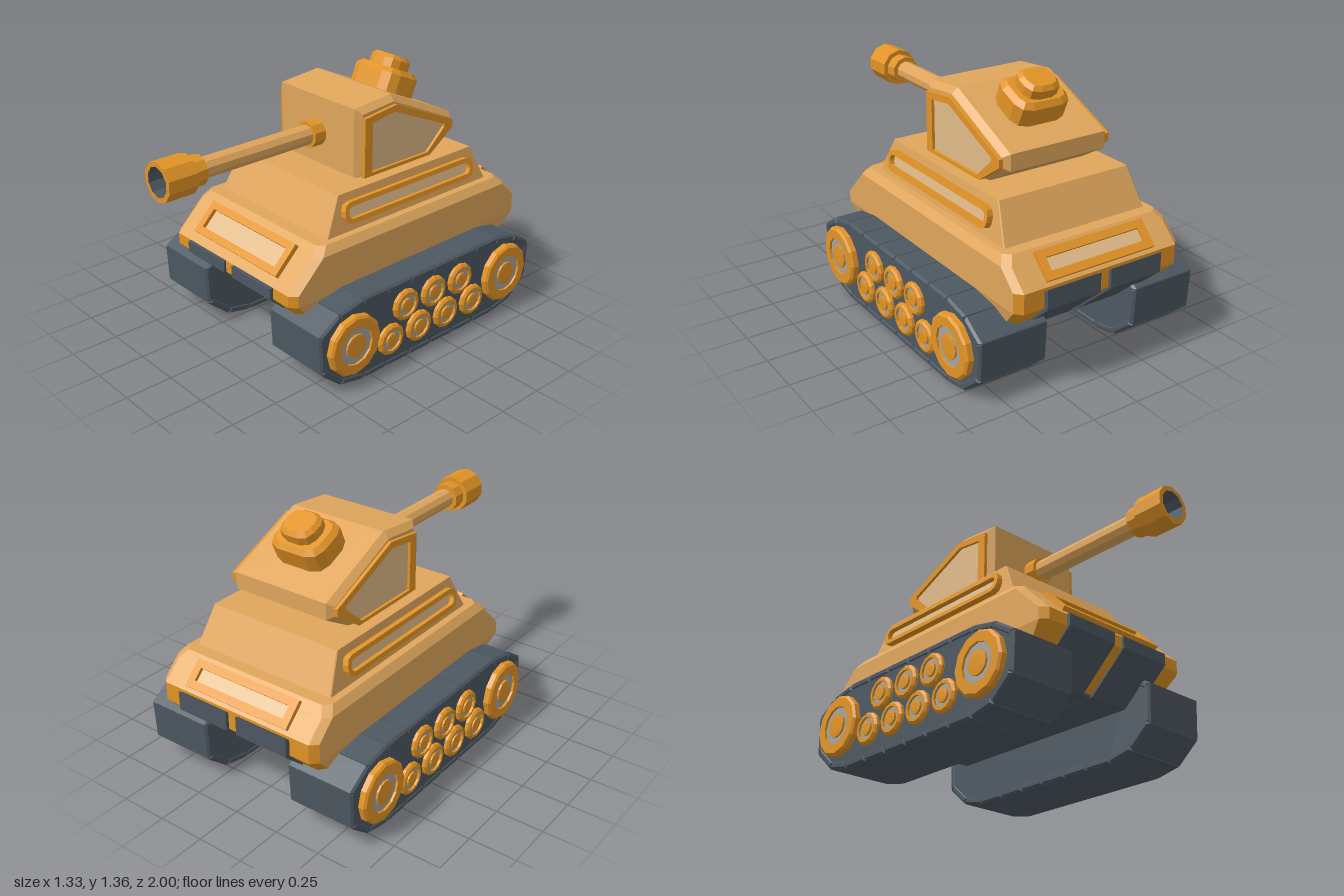
import * as THREE from 'three';

const mat = (name, color) => {
  const m = new THREE.MeshStandardMaterial({ color });
  m.name = name;
  return m;
};

export function createModel() {
  const tan = mat('tan armour', 0xe0a65c);
  const orange = mat('orange trim', 0xe29426);
  const dark = mat('dark slate', 0x4d5861);
  const light = mat('light panel', 0xe0ba88);
  const grey = mat('grey wheel ring', 0xa4a4a2);

  const tank = new THREE.Group();
  tank.name = 'tank';

  // Faceted mesh: every face gets its own normal
  const add = (name, geo, material, parent = tank) => {
    const g = geo.index ? geo.toNonIndexed() : geo;
    g.computeVertexNormals();
    const mesh = new THREE.Mesh(g, material);
    mesh.name = name;
    parent.add(mesh);
    return mesh;
  };
  const toShape = (pts) => new THREE.Shape(pts.map(([x, y]) => new THREE.Vector2(x, y)));

  // Extrudes along +z from 0 to depth, with an optional chamfer
  const extrude = (pts, depth, bevel = 0, hole = null) => {
    const s = toShape(pts);
    if (hole) s.holes.push(toShape(hole));
    const g = new THREE.ExtrudeGeometry(s, {
      depth: depth - 2 * bevel, bevelEnabled: bevel > 0, bevelThickness: bevel,
      bevelSize: bevel, bevelOffset: -bevel, bevelSegments: 1, curveSegments: 1,
    });
    return g.translate(0, 0, bevel);
  };
  // Extrudes a (z, y) side profile between x0 and x1
  const sideExtrude = (pts, x0, x1, bevel = 0, hole = null) =>
    extrude(pts, x1 - x0, bevel, hole).rotateY(-Math.PI / 2).translate(x1, 0, 0);

  // Rectangle with clipped, softened corners
  const rect = (w, h, c = 0) => {
    const x = w / 2, y = h / 2, k = c * 0.29;
    if (!c) return [[-x, -y], [x, -y], [x, y], [-x, y]];
    return [[x - c, -y], [x - k, -y + k], [x, -y + c], [x, y - c], [x - k, y - k], [x - c, y],
      [-x + c, y], [-x + k, y - k], [-x, y - c], [-x, -y + c], [-x + k, -y + k], [-x + c, -y]];
  };

  // Octagonal ring: half width, front and back z, front and back y, corner cut
  const ring = (hx, zf, zb, yf, yb = yf, c = 0.035) => [
    [hx, yf, zf - c], [hx, yb, zb + c], [hx - c, yb, zb], [c - hx, yb, zb],
    [-hx, yb, zb + c], [-hx, yf, zf - c], [c - hx, yf, zf], [hx - c, yf, zf]];
  // Skins rings from bottom to top; pick(i) gives the material index of wall i
  const loft = (rings, pick = () => 0) => {
    const pos = [], g = new THREE.BufferGeometry();
    const tri = (m, ...p) => {
      g.addGroup(pos.length / 3, 3, m);
      p.forEach((v) => pos.push(...v));
    };
    for (let j = 0; j + 1 < rings.length; j++) {
      for (let i = 0; i < 8; i++) {
        const n = (i + 1) % 8, lo = rings[j], hi = rings[j + 1];
        tri(pick(i), lo[i], lo[n], hi[n]);
        tri(pick(i), lo[i], hi[n], hi[i]);
      }
    }
    const top = rings[rings.length - 1], bot = rings[0];
    for (let i = 1; i < 7; i++) {
      tri(0, top[0], top[i], top[i + 1]);
      tri(0, bot[0], bot[i + 1], bot[i]);
    }
    g.setAttribute('position', new THREE.Float32BufferAttribute(pos, 3));
    return g;
  };

  // Hull: lower band with orange ends, sloped shell, raised deck
  const belt = ring(0.475, 0.615, -0.975, 0.5, 0.56);
  add('lowerHull', loft([ring(0.45, 0.54, -0.88, 0.36), ring(0.475, 0.615, -0.975, 0.44, 0.46), belt],
    (i) => (i % 4 === 0 ? 0 : 1)), [tan, orange]);
  add('hullShell', loft([belt, ring(0.475, 0.461, -0.881, 0.65), ring(0.445, 0.42, -0.84, 0.69)]), [tan]);
  add('upperDeck', loft([ring(0.41, 0.35, -0.78, 0.68, 0.68, 0.005),
    ring(0.375, 0.25, -0.68, 0.88, 0.88, 0.005)]), [tan]);

  // Belly: two dark skid plates with an orange spine between them
  const belly = [[0.633, 0.5], [0.633, 0.44], [0.42, 0.25], [-0.77, 0.25], [-1, 0.46], [-1, 0.56], [-0.9, 0.5], [0.5, 0.5]];
  const spine = [[0.62, 0.5], [0.62, 0.44], [0.42, 0.265], [-0.77, 0.265], [-0.982, 0.46], [-0.982, 0.555], [-0.9, 0.5], [0.5, 0.5]];
  add('leftBelly', sideExtrude(belly, 0.03, 0.33), dark);
  add('rightBelly', sideExtrude(belly, -0.33, -0.03), dark);
  add('bellySpine', sideExtrude(spine, -0.03, 0.03), orange);
  add('bellyFloor', new THREE.BoxGeometry(0.06, 0.03, 1.17).translate(0, 0.266, -0.175), dark);

  // Framed panels lying on the sloped armour
  const panel = (name, w, h, border, corner, depth, at, yaw, pitch) => {
    const p = new THREE.Group();
    p.name = name;
    p.position.set(...at);
    p.rotation.set(-pitch, yaw, 0, 'YXZ');
    const inner = rect(w - 2 * border, h - 2 * border, corner * 0.6);
    add('frame', extrude(rect(w, h, corner), depth + 0.01, 0, inner).translate(0, 0, -0.01), orange, p);
    add('inset', extrude(inner, 0.008).translate(0, 0, -0.004), light, p);
    tank.add(p);
  };
  panel('frontPanel', 0.65, 0.18, 0.038, 0, 0.025, [0, 0.598, 0.515], 0, Math.PI / 4);
  panel('rearPanel', 0.62, 0.145, 0.04, 0, 0.022, [0, 0.625, -0.908], Math.PI, Math.PI / 4);
  for (const s of [1, -1]) {
    panel(s > 0 ? 'leftRail' : 'rightRail', 0.9, 0.11, 0.024, 0.04, 0.03,
      [s * 0.393, 0.785, -0.21], s * Math.PI / 2, 0.18);
  }

  // Turret with framed side windows
  add('turretBody', sideExtrude([[0.05, 0.87], [0.05, 1.235], [-0.19, 1.258], [-0.627, 1.06],
    [-0.627, 0.975], [-0.45, 0.87]], -0.3, 0.3, 0.03), tan);
  const frame = [[0.02, 0.882], [0.02, 1.19], [-0.19, 1.215], [-0.602, 1.035], [-0.602, 0.995], [-0.44, 0.882]];
  const pane = [[-0.03, 0.9], [-0.03, 1.16], [-0.18, 1.18], [-0.54, 1.025], [-0.54, 1.01], [-0.42, 0.9]];
  for (const s of [1, -1]) {
    const span = (a, b) => (s > 0 ? [a, b] : [-b, -a]);
    add('turretWindowFrame', sideExtrude(frame, ...span(0.285, 0.318), 0, pane), orange);
    add('turretWindow', sideExtrude(pane, ...span(0.296, 0.303)), light);
  }

  // Hatch standing square to the sloping roof
  const hatch = new THREE.Group();
  hatch.name = 'hatch';
  hatch.position.set(0, 1.14, -0.38);
  hatch.rotation.x = -0.42;
  const stand = (g, y) => g.rotateX(-Math.PI / 2).translate(0, y, 0);
  add('hatchBase', stand(extrude(rect(0.3, 0.245, 0.07), 0.19, 0.025), -0.04), orange, hatch);
  add('hatchCap', stand(extrude(rect(0.19, 0.17, 0.06), 0.09, 0.02), 0.125), orange, hatch);
  tank.add(hatch);

  // Gun: lathed (radius, z) profiles along +z
  const turned = (pts, sides) =>
    new THREE.LatheGeometry(pts.map(([r, y]) => new THREE.Vector2(r, y)), sides);
  const gun = new THREE.Group();
  gun.name = 'gun';
  gun.position.y = 1.045;
  const gunPart = (name, pts, m) => add(name, turned(pts, 10).rotateX(Math.PI / 2), m, gun);
  gunPart('mantletCollar', [[0.07, 0], [0.07, 0.12], [0.045, 0.12]], orange);
  gunPart('barrel', [[0.052, 0.1], [0.052, 0.78]], tan);
  gunPart('muzzle', [[0.045, 0.77], [0.076, 0.77], [0.076, 0.84], [0.1, 0.84], [0.1, 1], [0.075, 1]], orange);
  gunPart('bore', [[0.075, 1], [0.075, 0.88], [0.001, 0.88]], dark);
  tank.add(gun);

  // Track outline (z, y), symmetric about z = -0.165
  const front = [[0.31, 0.455], [0.46, 0.425], [0.585, 0.345], [0.575, 0.14], [0.45, 0.032], [0.31, 0.003]];
  const outline = [...front, ...front.map(([z, y]) => [-0.33 - z, y]).reverse()];
  const core = outline.map(([z, y]) => [-0.165 + (z + 0.165) * 0.982, 0.229 + (y - 0.229) * 0.94]);

  // Wheel: rim, grey ring and hub, facing away from the hull
  const wheel = (s, z, y, r, d, ringR, hubR, parent) => {
    const w = new THREE.Group();
    w.name = 'wheel';
    w.position.set(s * 0.622, y, z);
    const part = (name, pts, m) => add(name, turned(pts, 12).rotateZ(-s * Math.PI / 2), m, w);
    part('rim', [[r, 0], [r, d - 0.01], [r - 0.012, d], [ringR, d], [ringR, d - 0.012]], orange);
    part('wheelRing', [[ringR, d - 0.012], [hubR, d - 0.012]], grey);
    part('hub', [[hubR, d - 0.014], [hubR, d - 0.002], [hubR * 0.6, d], [0.001, d]], orange);
    parent.add(w);
  };

  for (const s of [1, -1]) {
    const track = new THREE.Group();
    track.name = s > 0 ? 'leftTrack' : 'rightTrack';
    const span = (a, b) => (s > 0 ? [a, b] : [-b, -a]);
    add('trackCore', sideExtrude(core, ...span(0.262, 0.625)), dark, track);
    // Chamfered tread plates around the outline
    outline.forEach((a, i) => {
      const b = outline[(i + 1) % outline.length];
      const len = Math.hypot(b[0] - a[0], b[1] - a[1]);
      const n = Math.max(1, Math.round(len / 0.17));
      const tz = (b[0] - a[0]) / len, ty = (b[1] - a[1]) / len;
      const at = (d, depth) => [a[0] + tz * d + ty * depth, a[1] + ty * d - tz * depth];
      for (let k = 0; k < n; k++) {
        const d0 = (k * len) / n + 0.002, d1 = ((k + 1) * len) / n - 0.002;
        add('treadPlate', sideExtrude([at(d0, 0), at(d1, 0), at(d1, 0.04), at(d0, 0.04)],
          ...span(0.257, 0.63), 0.011), dark, track);
      }
    });
    for (const z of [0.38, -0.7]) wheel(s, z, 0.237, 0.16, 0.041, 0.1, 0.062, track);
    for (const z of [0.03, -0.165, -0.36]) wheel(s, z, 0.318, 0.084, 0.028, 0.058, 0.036, track);
    for (const z of [0.128, -0.067, -0.262, -0.457]) wheel(s, z, 0.16, 0.084, 0.028, 0.058, 0.036, track);
    tank.add(track);
  }
  return tank;
}
